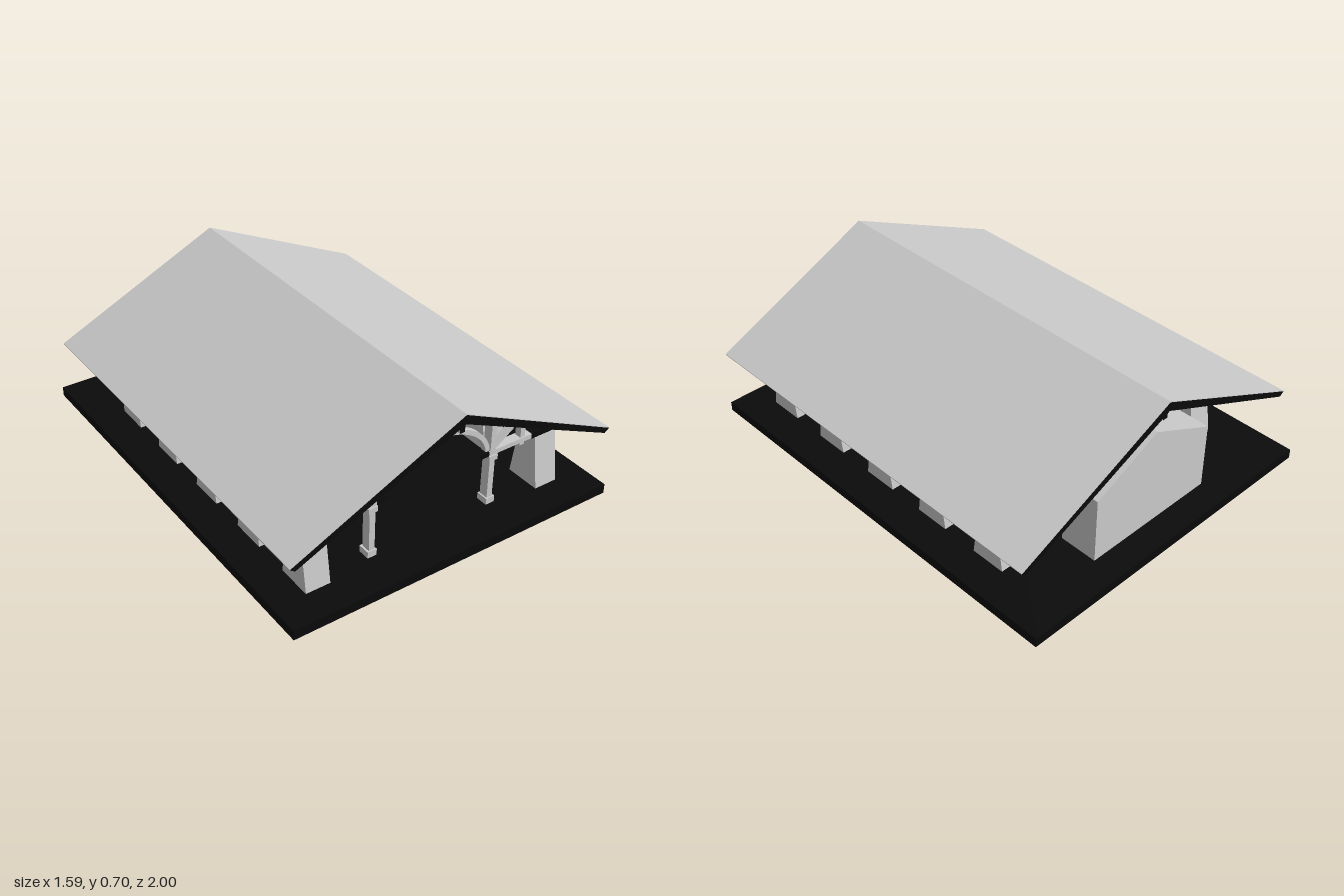
import * as THREE from 'three';

const grey = new THREE.MeshStandardMaterial({ color: 0xcccccc, flatShading: true });
const dark = new THREE.MeshStandardMaterial({ color: 0x0a0a0a, flatShading: true });

function add(parent, name, geometry, material = grey) {
  const mesh = new THREE.Mesh(geometry, material);
  mesh.name = name;
  parent.add(mesh);
  return mesh;
}

// Box given by its limits on each axis
function box(parent, name, [x0, x1], [y0, y1], [z0, z1], material) {
  const g = new THREE.BoxGeometry(x1 - x0, y1 - y0, z1 - z0);
  g.translate((x0 + x1) / 2, (y0 + y1) / 2, (z0 + z1) / 2);
  return add(parent, name, g, material);
}

// Outline in x and y, extruded from z0 to z1
function slab(parent, name, outline, z0, z1, material) {
  const shape = outline instanceof THREE.Shape
    ? outline : new THREE.Shape(outline.map(([x, y]) => new THREE.Vector2(x, y)));
  const g = new THREE.ExtrudeGeometry(shape, { depth: z1 - z0, bevelEnabled: false, curveSegments: 20 });
  g.translate(0, 0, z0);
  return add(parent, name, g, material);
}

// Straight timber between two points of the truss plane
function timber(parent, name, [ax, ay], [bx, by], width, depth) {
  const g = new THREE.BoxGeometry(Math.hypot(bx - ax, by - ay), width, depth);
  g.rotateZ(Math.atan2(by - ay, bx - ax));
  g.translate((ax + bx) / 2, (ay + by) / 2, 0);
  return add(parent, name, g);
}

// Opening with a curved head
function archedShape(cx, halfWidth, y0, spring, top) {
  const s = new THREE.Shape();
  s.moveTo(cx - halfWidth, y0);
  s.lineTo(cx + halfWidth, y0);
  s.lineTo(cx + halfWidth, spring);
  s.absellipse(cx, spring, halfWidth, top - spring, 0, Math.PI, false, 0);
  s.closePath();
  return s;
}

// Half-ellipse rib
function ribShape(a, b, y, t) {
  const s = new THREE.Shape();
  s.moveTo(a, y);
  s.absellipse(0, y, a, b, 0, Math.PI, false, 0);
  s.lineTo(-a + t, y);
  s.absellipse(0, y, a - t, b - t, Math.PI, 0, true, 0);
  s.closePath();
  return s;
}

function buildTruss(withFloorPosts) {
  const truss = new THREE.Group();
  truss.name = 'truss';
  const d = 0.022;
  slab(truss, 'archRib', ribShape(0.295, 0.205, 0.295, 0.022), -0.014, 0.014);
  box(truss, 'collarBeam', [-0.31, 0.31], [0.508, 0.532], [-d, d]);
  box(truss, 'archPendant', [-0.012, 0.012], [0.47, 0.51], [-0.018, 0.018]);
  box(truss, 'kingPost', [-0.013, 0.013], [0.51, 0.66], [-d, d], dark);
  for (const s of [-1, 1]) {
    const span = (a, b) => (s > 0 ? [a, b] : [-b, -a]);
    box(truss, 'hammerBeam', span(0.285, 0.52), [0.29, 0.312], [-d, d]);
    box(truss, 'bearingBlock', span(0.515, 0.645), [0.288, 0.314], [-d - 0.002, d + 0.002], dark);
    const tip = [[0.285, 0.29], [0.285, 0.312], [0.225, 0.312], [0.25, 0.29]];
    slab(truss, 'hammerBeamTip', tip.map(([x, y]) => [s * x, y]), -d, d, dark);
    box(truss, 'hammerPost', span(0.29, 0.318), [0.27, 0.52], [-d, d]);
    box(truss, 'queenPost', span(0.457, 0.481), [0.272, 0.435], [-0.016, 0.016]);
    timber(truss, 'innerStrut', [s * 0.465, 0.42], [s * 0.32, 0.318], 0.018, 0.028);
    timber(truss, 'outerStrut', [s * 0.475, 0.405], [s * 0.6, 0.312], 0.018, 0.028);
    timber(truss, 'upperBrace', [s * 0.3, 0.44], [s * 0.2, 0.512], 0.018, 0.028);
    timber(truss, 'rafter', [s * 0.25, 0.528], [s * 0.56, 0.39], 0.022, 0.036);
    if (withFloorPosts) {
      box(truss, 'floorPost', span(0.29, 0.318), [0.045, 0.29], [-d, d]);
      box(truss, 'postFoot', span(0.283, 0.327), [0.045, 0.075], [-0.028, 0.028]);
      box(truss, 'postCapital', span(0.283, 0.327), [0.265, 0.29], [-0.028, 0.028]);
    }
  }
  return truss;
}

function buildBackRoom() {
  const room = new THREE.Group();
  room.name = 'backRoom';
  const front = -0.69;
  slab(room, 'gabledWall',
    [[-0.335, 0.045], [0.335, 0.045], [0.335, 0.36], [0, 0.52], [-0.335, 0.36]], -0.87, front);
  // Doorway frame and panel
  box(room, 'doorPanel', [-0.125, 0.125], [0.045, 0.21], [front, front + 0.004]);
  for (const s of [-1, 1]) {
    const [a, b] = s > 0 ? [0.125, 0.145] : [-0.145, -0.125];
    box(room, 'doorJamb', [a, b], [0.045, 0.21], [front, front + 0.01]);
    slab(room, 'sideNiche', archedShape(s * 0.228, 0.042, 0.065, 0.11, 0.15), front, front + 0.003, dark);
  }
  box(room, 'doorLintel', [-0.145, 0.145], [0.21, 0.23], [front, front + 0.01]);
  slab(room, 'archedWindow', archedShape(0, 0.092, 0.295, 0.385, 0.445), front, front + 0.003, dark);
  box(room, 'windowSill', [-0.145, 0.145], [0.289, 0.296], [front, front + 0.01], dark);
  return room;
}

export function createModel() {
  const model = new THREE.Group();
  model.name = 'timberPavilion';
  box(model, 'floorSlab', [-0.795, 0.795], [0, 0.045], [-1, 1], dark);

  // Roof body, its covering and the inner ceiling
  const roof = new THREE.Group();
  roof.name = 'roof';
  model.add(roof);
  slab(roof, 'roofBody', [[0, 0.697], [-0.795, 0.327], [-0.772, 0.31], [0, 0.655],
    [0.772, 0.31], [0.795, 0.327]], -0.92, 0.98, dark);
  for (const s of [-1, 1]) {
    slab(roof, 'roofCovering',
      [[0, 0.697], [s * 0.795, 0.327], [s * 0.795, 0.33], [0, 0.7]], -0.92, 0.98);
    slab(roof, 'ceilingPanel',
      [[0, 0.655], [s * 0.31, 0.517], [s * 0.31, 0.514], [0, 0.652]], -0.9, 0.96);
  }
  box(roof, 'ridgeBeam', [-0.012, 0.012], [0.605, 0.655], [-0.9, 0.96]);
  for (const z of [-0.901, 0.961]) {
    box(roof, 'ridgeBeamEnd', [-0.012, 0.012], [0.605, 0.655], [z - 0.001, z + 0.001], dark);
  }

  // Five bays of tapered piers carrying trusses
  for (let i = 0; i < 5; i++) {
    const z = 0.773 - i * 0.337;
    for (const s of [-1, 1]) {
      const pier = slab(model, 'pier',
        [[-0.083, 0.045], [0.083, 0.045], [0.048, 0.288], [-0.048, 0.288]], -0.057, 0.057);
      pier.rotation.y = Math.PI / 2;
      pier.position.set(s * 0.587, 0, z);
    }
    const truss = buildTruss(i === 0);
    truss.position.z = z + 0.021;
    model.add(truss);
  }

  model.add(buildBackRoom());
  return model;
}
